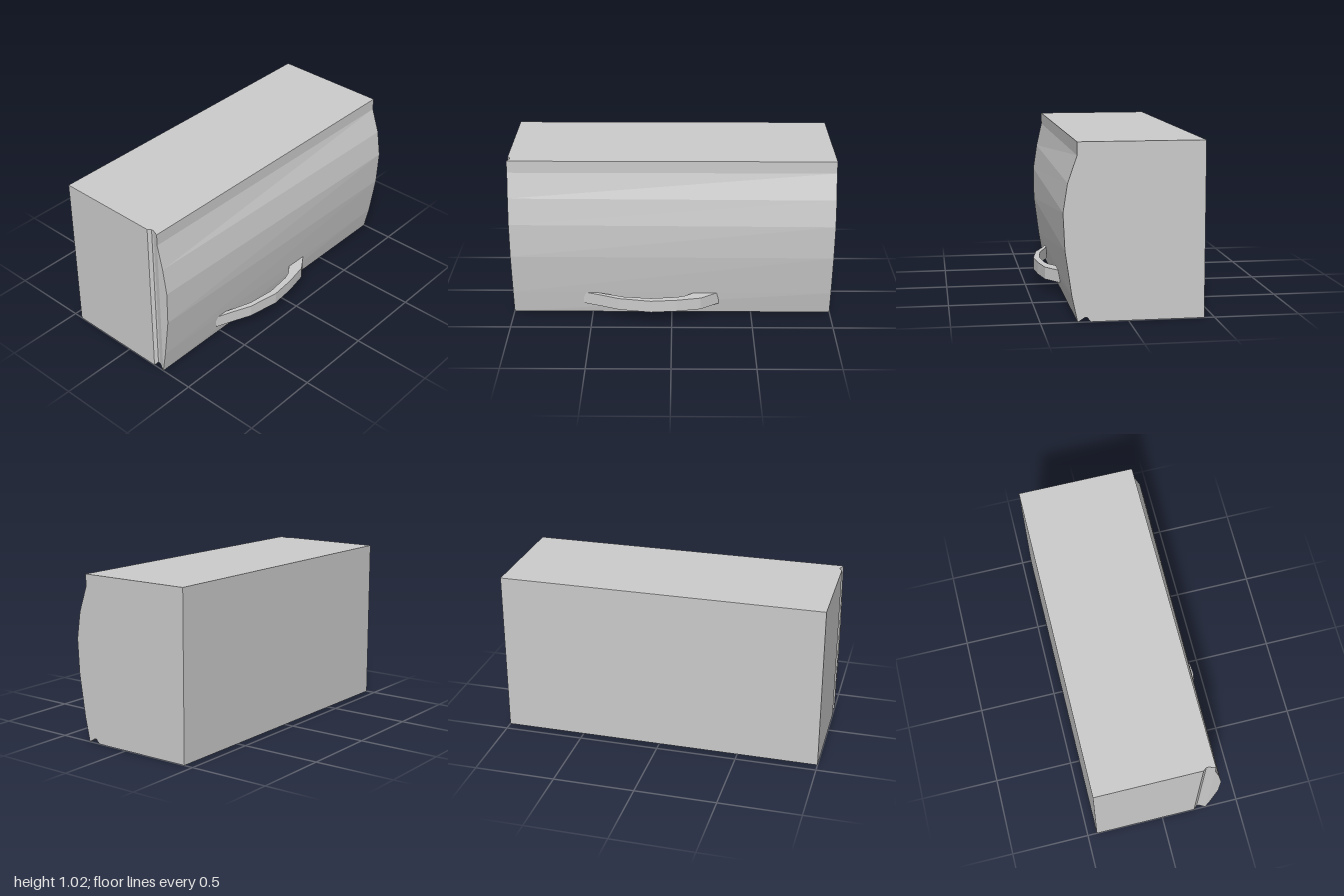
import * as THREE from 'three';

const HEIGHT = 1.02;

// Columns across the case: [x, height of the underside, inset of the front face]
const COLUMNS = [
  [-0.44, 0, 0], [0.215, 0, 0], [0.235, 0.025, 0.015], [0.25, 0.025, 0.015], [0.29, 0, 0],
];
// Bulging door side: [x at front end, x at back end, y]
const DOOR = [
  [0.315, 0.322, 0.15], [0.348, 0.36, 0.41], [0.35, 0.37, 0.625],
  [0.325, 0.344, 0.79], [0.29, 0.29, 0.945],
];

// Closed outline at one end, counter-clockwise seen from the front
function section(front) {
  const z = (inset) => (front ? 1 - inset : -1);
  const bottom = COLUMNS.map(([x, y, inset]) => [x, y, z(inset)]);
  const side = DOOR.map(([xf, xb, y]) => [front ? xf : xb, y, z(0)]);
  const top = COLUMNS.map(([x, , inset]) => [x, HEIGHT, z(inset)]).reverse();
  return [...bottom, ...side, ...top];
}

function caseGeometry() {
  const f = section(true);
  const b = section(false);
  const n = f.length;
  const pos = [];
  const tri = (p, q, r) => pos.push(...p, ...q, ...r);

  // Long walls between the two ends
  for (let i = 0; i < n; i++) {
    const j = (i + 1) % n;
    tri(f[i], b[i], b[j]);
    tri(f[i], b[j], f[j]);
  }
  // End faces, column by column, so the upright groove is kept
  for (let i = 0; i < COLUMNS.length - 1; i++) {
    const t0 = n - 1 - i;
    const t1 = t0 - 1;
    tri(f[i], f[i + 1], f[t1]);
    tri(f[i], f[t1], f[t0]);
    tri(b[i], b[t1], b[i + 1]);
    tri(b[i], b[t0], b[t1]);
  }
  // Ends of the door bulge
  const base = COLUMNS.length - 1;
  for (let i = base + 1; i < base + DOOR.length; i++) {
    tri(f[base], f[i], f[i + 1]);
    tri(b[base], b[i + 1], b[i]);
  }

  const geometry = new THREE.BufferGeometry();
  geometry.setAttribute('position', new THREE.Float32BufferAttribute(pos, 3));
  geometry.computeVertexNormals();
  return geometry;
}

// Bow handle drawn in plan (x, z) and given its height
function handleGeometry() {
  const outer = [
    [0.31, 0.555], [0.35, 0.45], [0.4, 0.33], [0.435, 0.13],
    [0.42, -0.03], [0.39, -0.18], [0.31, -0.295],
  ];
  const inner = [
    [0.31, -0.15], [0.36, -0.08], [0.377, -0.03], [0.395, 0.13], [0.375, 0.3], [0.31, 0.49],
  ];
  const plan = new THREE.Shape([...outer, ...inner].map(([x, z]) => new THREE.Vector2(x, z)));
  const geometry = new THREE.ExtrudeGeometry(plan, { depth: 0.077, bevelEnabled: false });
  return geometry.rotateX(Math.PI / 2).translate(0, 0.148, 0);
}

export function createModel() {
  const group = new THREE.Group();
  group.name = 'cabinet';
  const material = new THREE.MeshStandardMaterial({ color: 0xcccccc, flatShading: true });

  const body = new THREE.Mesh(caseGeometry(), material);
  body.name = 'caseWithDoor';
  const handle = new THREE.Mesh(handleGeometry(), material);
  handle.name = 'handle';

  group.add(body, handle);
  return group;
}
